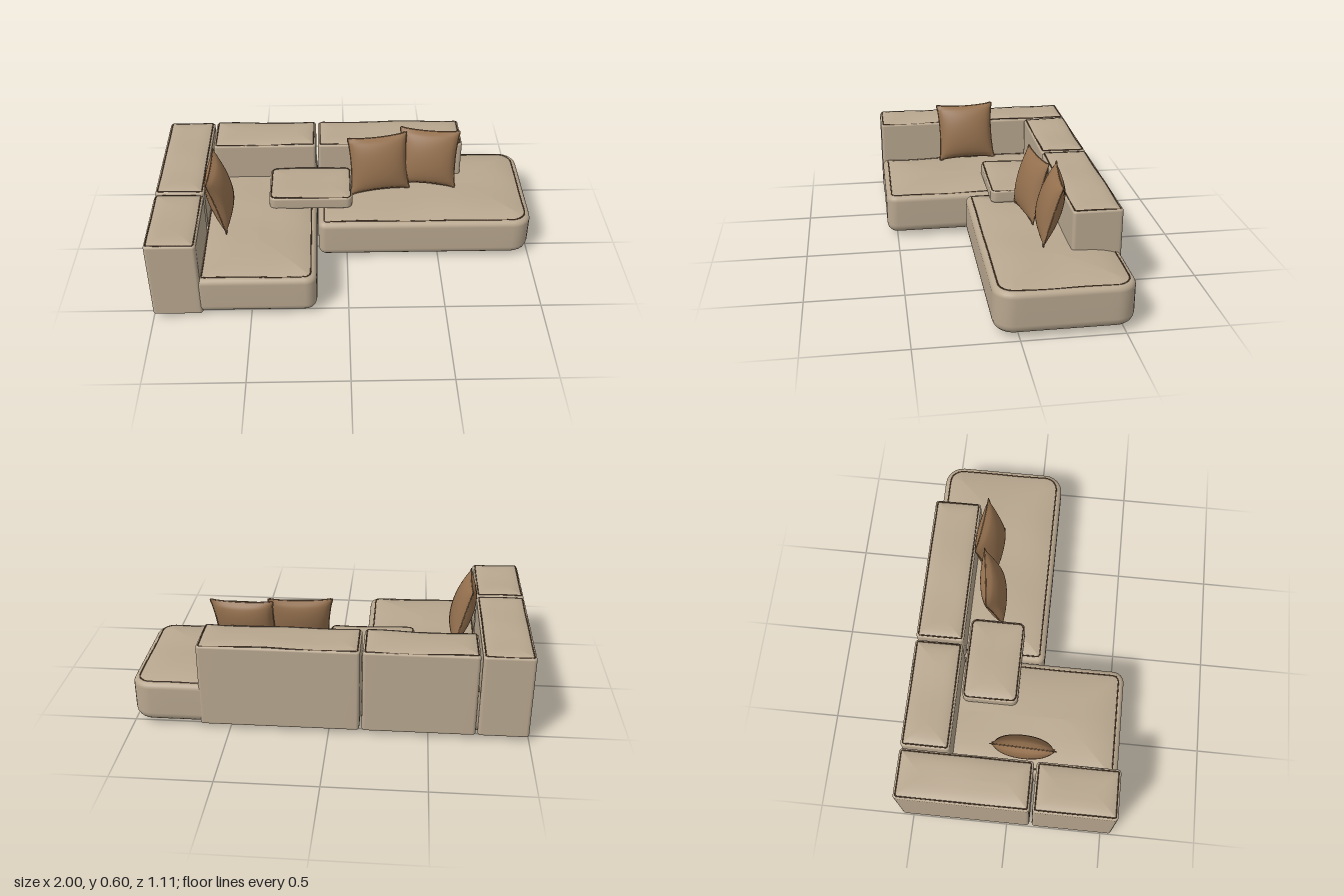
import * as THREE from 'three';
import { mergeGeometries } from 'three/addons/utils/BufferGeometryUtils.js';

const mat = (name, color, side = THREE.FrontSide) => {
  const m = new THREE.MeshStandardMaterial({ color, side });
  m.name = name;
  return m;
};

// Rounded rectangle in the xz plane; radii in order (+x+z), (-x+z), (-x-z), (+x-z)
function ring(hw, hd, radii, inset) {
  const w = Math.max(hw - inset, 0), d = Math.max(hd - inset, 0), pts = [];
  const signs = [[1, 1], [-1, 1], [-1, -1], [1, -1]];
  const corners = signs.map(([sx, sz], k) => {
    const r = Math.min(Math.max(radii[k] - inset, 0.004), w, d), arc = [];
    for (let i = 0; i <= 6; i++) {
      const a = (k + i / 6) * Math.PI / 2;
      arc.push([sx * (w - r) + r * Math.cos(a), sz * (d - r) + r * Math.sin(a)]);
    }
    return arc;
  });
  corners.forEach((arc, k) => {
    pts.push(...arc);
    const p = arc[6], q = corners[(k + 1) % 4][0];
    for (let i = 1; i < 10; i++) {
      const t = i / 10;
      pts.push([p[0] + (q[0] - p[0]) * t, p[1] + (q[1] - p[1]) * t]);
    }
  });
  return pts;
}

// Gentle unevenness of the upholstery
const wave = (x, z) => 0.003 * Math.sin(x * 13 + z * 5) + 0.002 * Math.sin(z * 17 - x * 6);

export function createModel() {
  const model = new THREE.Group();
  model.name = 'cornerSofa';
  const fabric = mat('beigeFabric', 0xb8a78f);
  const piping = mat('brownPiping', 0x5c432d);
  const pillowCloth = mat('brownPillowCloth', 0x94704e);
  const legDark = mat('darkLeg', 0x222222);

  const add = (parent, geometry, material, name) => {
    const mesh = new THREE.Mesh(geometry, material);
    mesh.name = name;
    parent.add(mesh);
    return mesh;
  };
  const loopTube = (points, radius, segments) => new THREE.TubeGeometry(
    new THREE.CatmullRomCurve3(points, true, 'centripetal'), segments, radius, 6, true);

  // Upholstered block: rounded bottom, straight sides, seam with piping, crowned top
  function block(name, [x0, x1], [y0, seam], [z0, z1], { radii, bottom, top, crown }) {
    const hw = (x1 - x0) / 2, hd = (z1 - z0) / 2, cx = (x0 + x1) / 2, cz = (z0 + z1) / 2;
    const half = Math.min(hw, hd), profile = [[half, y0], [bottom + 0.015, y0]];
    for (let i = 0; i <= 5; i++) {
      const a = i / 5 * Math.PI / 2;
      profile.push([bottom * (1 - Math.sin(a)), y0 + bottom * (1 - Math.cos(a))]);
    }
    for (let i = 0; i <= 5; i++) {
      const a = i / 5 * Math.PI / 2;
      profile.push([top * (1 - Math.cos(a)), seam - top * (1 - Math.sin(a))]);
    }
    const seamRow = profile.length - 1;
    for (const t of [0.04, 0.1, 0.2, 0.35, 0.6, 1])
      profile.push([top + (half - top) * t, seam + crown * (1 - (1 - t) ** 4)]);

    const pos = [], index = [], seamPts = [];
    let n = 0;
    profile.forEach(([inset, y], row) => {
      const pts = ring(hw, hd, radii, inset);
      n = pts.length;
      pts.forEach(([px, pz], j) => {
        const x = cx + px, z = cz + pz;
        const yy = row >= seamRow ? y + wave(x, z) : y;
        pos.push(x, yy, z);
        if (row === seamRow) seamPts.push(new THREE.Vector3(x, yy, z));
        if (row < profile.length - 1) {
          const a = row * n + j, b = row * n + (j + 1) % n;
          index.push(a, a + n, b, b, a + n, b + n);
        }
      });
    });
    const geo = new THREE.BufferGeometry();
    geo.setAttribute('position', new THREE.Float32BufferAttribute(pos, 3));
    geo.setIndex(index);
    geo.computeVertexNormals();
    const group = new THREE.Group();
    group.name = name;
    add(group, geo, fabric, name + 'Body');
    add(group, loopTube(seamPts, 0.0035, 200), piping, name + 'Piping');
    model.add(group);
  }

  // Seats
  const seat = { bottom: 0.05, top: 0.03, crown: 0.022 };
  block('cornerSeat', [-0.77, -0.162], [0.025, 0.245], [-0.54, 0.555],
    { ...seat, radii: [0.06, 0.03, 0.03, 0.03] });
  block('chaiseSeat', [-0.155, 0.997], [0.025, 0.245], [-0.555, 0.12],
    { ...seat, radii: [0.1, 0.04, 0.03, 0.1] });

  // Arms and backrests
  const upright = { radii: [0.018, 0.018, 0.018, 0.018], bottom: 0.012, top: 0.012, crown: 0.012 };
  block('longArm', [-1, -0.745], [0.025, 0.47], [-0.558, 0.12], upright);
  block('shortArm', [-1, -0.745], [0.025, 0.47], [0.133, 0.556], upright);
  block('cornerBack', [-0.735, -0.167], [0.025, 0.47], [-0.558, -0.308], upright);
  block('chaiseBack', [-0.155, 0.65], [0.025, 0.47], [-0.558, -0.308], upright);

  // Flat cushion bridging the two seats
  block('bridgeCushion', [-0.42, 0.03], [0.262, 0.331], [-0.295, 0],
    { radii: [0.035, 0.035, 0.035, 0.035], bottom: 0.015, top: 0.01, crown: 0.01 });

  // Square pillow with pinched corners and a piped edge
  const SIZE = 0.163;
  const outline = (u, v) => [
    SIZE * u * (1 - 0.07 * (1 - v * v) * u * u),
    SIZE * v * (1 - 0.07 * (1 - u * u) * v * v)];
  function pillow(name, position, yaw, lean, roll) {
    const face = new THREE.PlaneGeometry(2, 2, 20, 20);
    const p = face.attributes.position;
    for (let i = 0; i < p.count; i++) {
      const u = p.getX(i), v = p.getY(i);
      const puff = Math.max((1 - u * u) * (1 - v * v), 0) ** 0.55;
      p.setXYZ(i, ...outline(u, v), 0.06 * puff);
    }
    face.computeVertexNormals();
    const edge = [];
    for (let k = 0; k < 4; k++) for (let i = 0; i < 10; i++) {
      const t = -1 + i / 5;
      const [u, v] = [[t, -1], [1, t], [-t, 1], [-1, -t]][k];
      edge.push(new THREE.Vector3(...outline(u, v), 0));
    }
    const group = new THREE.Group();
    group.name = name;
    add(group, mergeGeometries([face, face.clone().rotateY(Math.PI)]), pillowCloth, name + 'Cover');
    add(group, loopTube(edge, 0.003, 120), pillowCloth, name + 'Edge');
    group.position.set(...position);
    group.rotation.set(lean, yaw, roll, 'YXZ');
    model.add(group);
  }
  pillow('armPillow', [-0.672, 0.436, 0.057], Math.PI / 2 - 0.03, -0.25, 0.03);
  pillow('frontPillow', [0.178, 0.43, -0.188], 0.13, -0.25, 0.03);
  pillow('rearPillow', [0.452, 0.435, -0.235], -0.09, -0.27, -0.04);

  // Legs
  const legSets = [[[-0.8, -0.36], [0.365, -0.37]], [[0.04, 0.79], [-0.07, -0.37]]];
  for (const [xs, zs] of legSets) for (const x of xs) for (const z of zs)
    add(model, new THREE.CylinderGeometry(0.019, 0.019, 0.03, 16), legDark, 'leg')
      .position.set(x, 0.015, z);

  return model;
}
